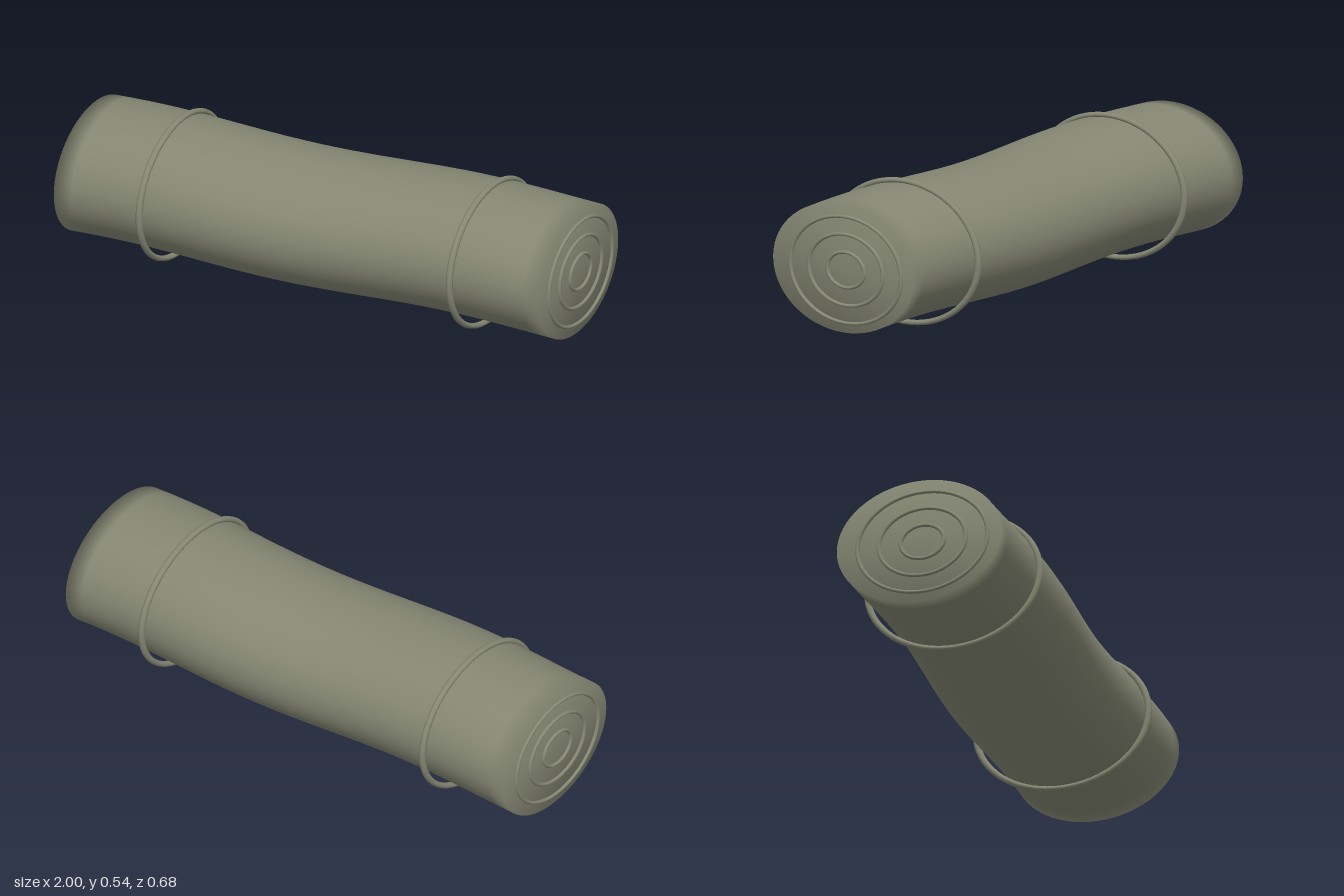
import * as THREE from 'three';
import { mergeVertices } from 'three/addons/utils/BufferGeometryUtils.js';

const CENTER_Y = 0.271;
const FLATTEN = 0.797; // height / depth of every oval

export function createModel() {
  const group = new THREE.Group();
  group.name = 'bedroll';
  const canvas = new THREE.MeshStandardMaterial({ color: 0x858773 });
  canvas.name = 'olive canvas';

  // Rolled body: an oval cylinder along x whose centre line sways gently
  let body = new THREE.CylinderGeometry(1, 1, 1.982, 64, 28);
  body.rotateZ(-Math.PI / 2);
  const p = body.attributes.position;
  for (let i = 0; i < p.count; i++) {
    const x = p.getX(i);
    const sway = x * 1.5 * Math.PI;
    p.setY(i, p.getY(i) * 0.239 + 0.276 - 0.009 * Math.cos(sway));
    p.setZ(i, p.getZ(i) * 0.312 - 0.013 * Math.sin(sway));
  }
  // Weld the caps to the sides for soft ends
  body.deleteAttribute('normal');
  body.deleteAttribute('uv');
  body = mergeVertices(body, 1e-4);
  body.computeVertexNormals();
  const roll = new THREE.Mesh(body, canvas);
  roll.name = 'roll';
  group.add(roll);

  // Oval hoop around the x axis
  function hoop(name, x, radius, tube) {
    const geometry = new THREE.TorusGeometry(radius, tube, 12, 72);
    geometry.rotateY(Math.PI / 2);
    geometry.scale(1, FLATTEN, 1);
    const mesh = new THREE.Mesh(geometry, canvas);
    mesh.name = name;
    mesh.position.set(x, CENTER_Y, 0);
    group.add(mesh);
  }

  for (const side of [-1, 1]) {
    const label = side > 0 ? 'left' : 'right';
    hoop(label + 'Strap', side * 0.63, 0.327, 0.0125);
    // Layers of the roll showing on each end
    [0.082, 0.165, 0.247].forEach((radius, i) =>
      hoop(label + 'EndRing' + (i + 1), side * 0.992, radius, 0.008));
  }
  return group;
}
